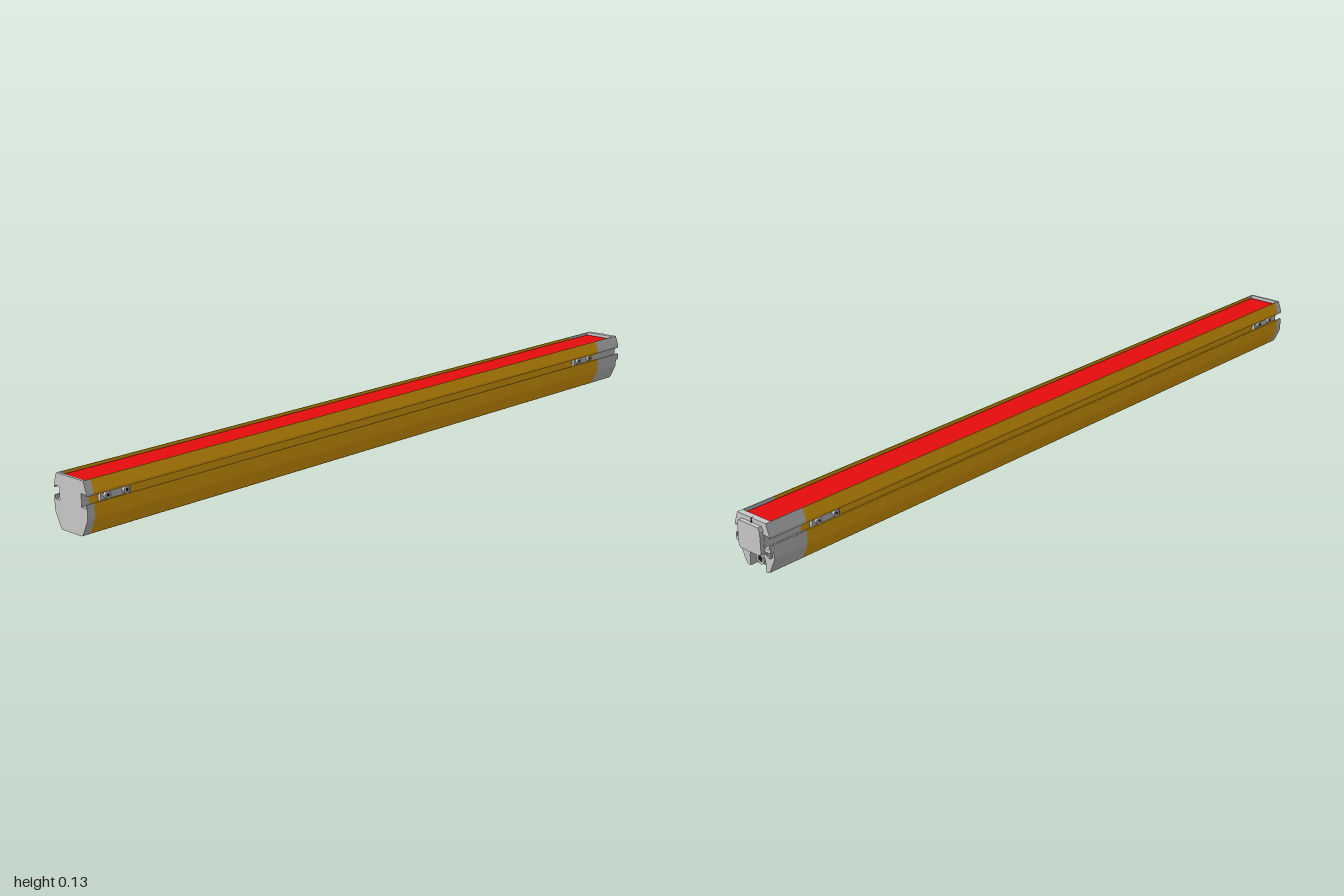
import * as THREE from 'three';

const paint = (color) => new THREE.MeshStandardMaterial({ color });
const grey = paint(0xcccccc), yellow = paint(0xf2ac0a), red = paint(0xe80c0c), black = paint(0x161616);

// Half outlines as [z, y], mirrored into full cross-sections
const FLANK = [[0.033, 0], [0.037, 0.002], [0.04, 0.006], [0.055, 0.037], [0.057, 0.044], [0.057, 0.055]];
const SLOT = [[0.057, 0.076], [0.053, 0.076], [0.053, 0.067], [0.038, 0.067],
  [0.038, 0.098], [0.053, 0.098], [0.053, 0.094], [0.057, 0.094]];
const SHOULDER = [[0.057, 0.1], [0.047, 0.128]];
const CHANNEL = [[0.045, 0.128], [0.045, 0.114]];
const RECESS = [[0, 0.046], [0.012, 0.045], [0.021, 0.039], [0.026, 0.028], [0.026, 0]];

function section({ channel = false, recess = false, upperOnly = false }) {
  const half = [
    ...(upperOnly ? [[0.037, 0.05], [0.037, 0.058], [0.057, 0.058]] : [...(recess ? RECESS : []), ...FLANK]),
    ...SLOT, ...SHOULDER, ...(channel ? CHANNEL : []),
  ];
  const mirrored = half.filter((p) => p[0] > 0).reverse().map(([z, y]) => [-z, y]);
  return new THREE.Shape([...half, ...mirrored].map(([z, y]) => new THREE.Vector2(z, y)));
}

// Extrudes a cross-section along x
function bar(name, shape, x0, x1, material, curveSegments = 6) {
  const geo = new THREE.ExtrudeGeometry(shape, { depth: x1 - x0, bevelEnabled: false, curveSegments });
  geo.rotateY(Math.PI / 2).translate(x0, 0, 0);
  const mesh = new THREE.Mesh(geo, material);
  mesh.name = name;
  return mesh;
}

function box(name, x0, x1, y0, y1, z0, z1, material) {
  const mesh = new THREE.Mesh(new THREE.BoxGeometry(x1 - x0, y1 - y0, z1 - z0), material);
  mesh.position.set((x0 + x1) / 2, (y0 + y1) / 2, (z0 + z1) / 2);
  mesh.name = name;
  return mesh;
}

// Turned part along +x from [radius, x] points
function turned(name, points, y, z, material, segments = 28) {
  const geo = new THREE.LatheGeometry(points.map(([r, x]) => new THREE.Vector2(r, x)), segments);
  geo.rotateZ(-Math.PI / 2);
  const mat = material.clone();
  mat.side = THREE.DoubleSide;
  mat.flatShading = true;
  const mesh = new THREE.Mesh(geo, mat);
  mesh.position.set(0, y, z);
  mesh.name = name;
  return mesh;
}

// Sliding clip with two round heads, sitting in the side slot
function slotClip(x, side) {
  const g = new THREE.Group();
  g.name = 'slotClip';
  g.add(box('clipPlate', x - 0.042, x + 0.042, 0.07, 0.095, side * 0.045 - 0.004, side * 0.045 + 0.004, grey));
  for (const dx of [-0.026, 0.026]) {
    const head = new THREE.Mesh(new THREE.CylinderGeometry(0.0085, 0.0085, 0.008, 20), grey);
    head.rotation.x = Math.PI / 2;
    head.position.set(x + dx, 0.085, side * 0.052);
    head.name = 'clipHead';
    const socket = new THREE.Mesh(new THREE.CylinderGeometry(0.004, 0.004, 0.0084, 6), black);
    socket.rotation.x = Math.PI / 2;
    socket.position.copy(head.position);
    socket.name = 'clipSocket';
    g.add(head, socket);
  }
  return g;
}

export function createModel() {
  const model = new THREE.Group();
  model.name = 'lightBarrierBar';

  // Yellow profile housing
  model.add(bar('housing', section({ channel: true }), -0.98, 0.885, yellow));

  // Window with its dark surround
  model.add(box('windowSurround', -0.993, 0.975, 0.113, 0.119, -0.0455, 0.0455, black));
  model.add(box('window', -0.985, 0.968, 0.118, 0.122, -0.041, 0.041, red));

  // Closed end cap
  const closed = new THREE.Group();
  closed.name = 'closedEndCap';
  closed.add(bar('capCollar', section({ channel: true }), -0.993, -0.98, grey));
  closed.add(bar('capEnd', section({}), -1, -0.993, grey));
  model.add(closed);

  // Connector end cap, built in steps along its length
  const cap = new THREE.Group();
  cap.name = 'connectorEndCap';
  cap.add(bar('capBase', section({ channel: true }), 0.885, 0.925, grey));
  cap.add(bar('capLegs', section({ channel: true, recess: true }), 0.925, 0.975, grey));
  cap.add(bar('capFront', section({ recess: true }), 0.975, 0.98, grey));
  cap.add(bar('capHead', section({ upperOnly: true }), 0.98, 0.99, grey));

  // Raised end plate with rounded lower corners
  const plate = new THREE.Shape();
  plate.moveTo(-0.037, 0.108);
  plate.lineTo(-0.037, 0.06);
  plate.quadraticCurveTo(-0.037, 0.049, -0.026, 0.049);
  plate.lineTo(0.026, 0.049);
  plate.quadraticCurveTo(0.037, 0.049, 0.037, 0.06);
  plate.lineTo(0.037, 0.108);
  plate.lineTo(0.032, 0.117);
  plate.lineTo(-0.032, 0.117);
  cap.add(bar('endPlate', plate, 0.98, 1, grey));
  cap.add(box('centreMark', 0.985, 0.9915, 0.116, 0.1283, -0.0012, 0.0012, black));

  // Cable connector in the recess
  cap.add(turned('connector', [[0, 0.92], [0.015, 0.92], [0.015, 0.935], [0.019, 0.938], [0.019, 0.962],
    [0.016, 0.966], [0.013, 0.966], [0.013, 0.974], [0.007, 0.974], [0.007, 0.945], [0, 0.945]], 0.022, 0, grey));
  cap.add(turned('connectorBore', [[0.0068, 0.972], [0, 0.972]], 0.022, 0, black));

  // Cap screws
  for (const side of [-1, 1]) {
    cap.add(turned('capScrew', [[0.01, 0.978], [0.01, 0.983], [0.008, 0.985], [0.0045, 0.985],
      [0.0045, 0.982], [0, 0.982]], 0.05, side * 0.043, grey, 20));
  }
  model.add(cap);

  // Slot clips near both ends, on both sides
  for (const side of [-1, 1]) {
    for (const x of [-0.915, 0.82]) model.add(slotClip(x, side));
  }
  return model;
}
